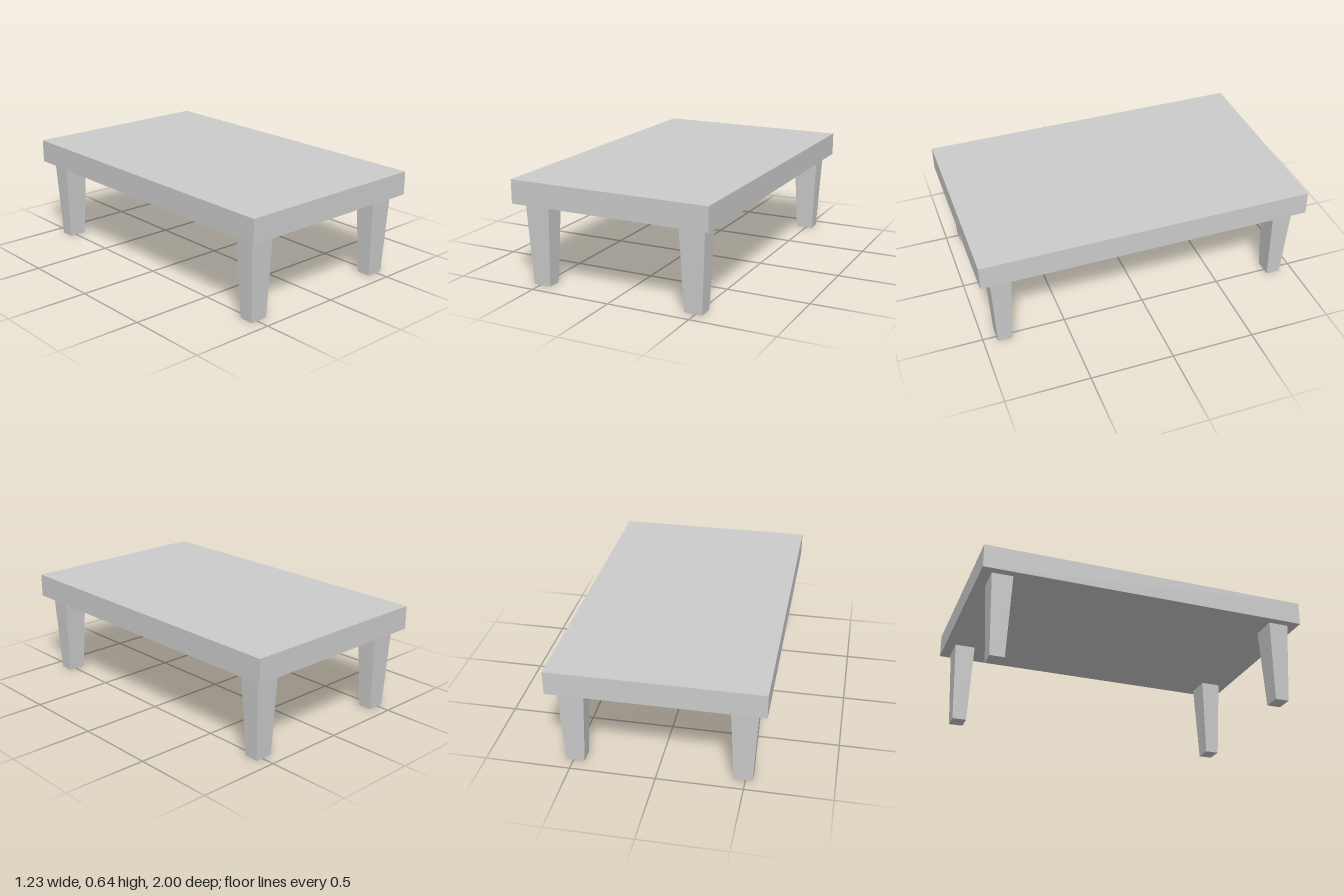
import * as THREE from 'three';

const material = new THREE.MeshStandardMaterial({ color: 0xcccccc, flatShading: true });

// Box that narrows towards its foot, standing on y = 0
function taperedLeg(topWidth, topDepth, height, footScale) {
  const geometry = new THREE.BoxGeometry(topWidth, height, topDepth);
  geometry.translate(0, height / 2, 0);
  const pos = geometry.attributes.position;
  for (let i = 0; i < pos.count; i++) {
    const s = THREE.MathUtils.lerp(footScale, 1, pos.getY(i) / height);
    pos.setX(i, pos.getX(i) * s);
    pos.setZ(i, pos.getZ(i) * s);
  }
  geometry.computeVertexNormals();
  return geometry;
}

export function createModel() {
  const table = new THREE.Group();
  table.name = 'lowTable';

  // Thick rectangular slab
  const top = new THREE.Mesh(new THREE.BoxGeometry(1.228, 0.142, 2), material);
  top.name = 'tableTop';
  top.position.y = 0.569;
  table.add(top);

  // Four tapered legs near the corners
  const legGeometry = taperedLeg(0.156, 0.125, 0.498, 0.69);
  for (const [zName, z] of [['front', 1], ['back', -1]]) {
    for (const [xName, x] of [['Left', 1], ['Right', -1]]) {
      const leg = new THREE.Mesh(legGeometry, material);
      leg.name = `${zName}${xName}Leg`;
      leg.position.set(x * 0.487, 0, z * 0.875);
      table.add(leg);
    }
  }
  return table;
}
